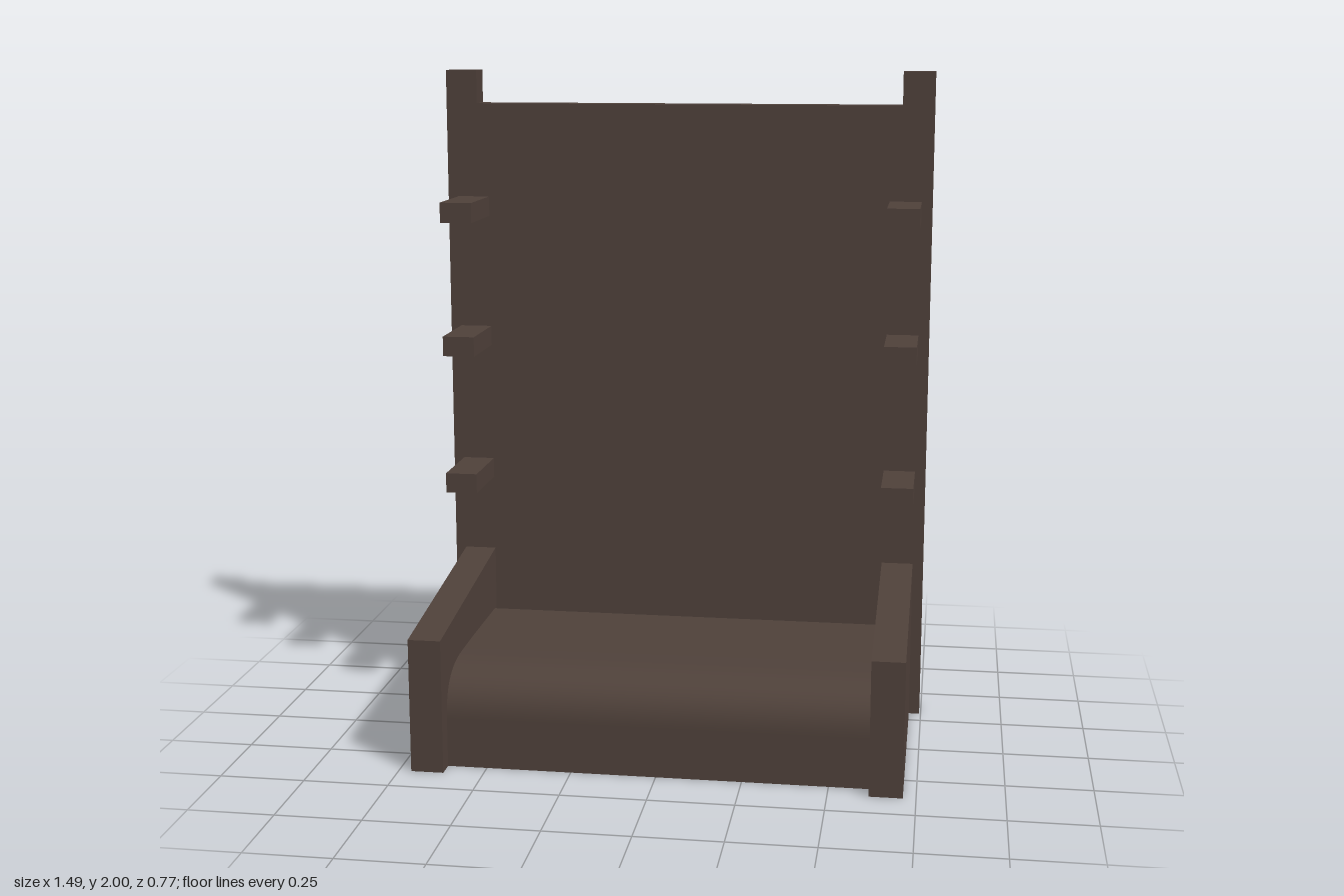
import * as THREE from 'three';

const wood = new THREE.MeshStandardMaterial({ color: 0x4f413a, side: THREE.DoubleSide });
wood.name = 'darkBrownWood';

const BACK_Z = -0.39, PANEL_Z = -0.31;

function add(group, name, geometry, x = 0, y = 0, z = 0) {
  const mesh = new THREE.Mesh(geometry, wood);
  mesh.name = name;
  mesh.position.set(x, y, z);
  group.add(mesh);
  return mesh;
}

function extrude(points, depth) {
  const shape = new THREE.Shape(points.map(([x, y]) => new THREE.Vector2(x, y)));
  return new THREE.ExtrudeGeometry(shape, { depth, bevelEnabled: false });
}

// Seat sheet: flat top rolling over a rounded front edge down to the floor
function seatSheet(width) {
  const path = new THREE.CurvePath();
  const v = (z, y) => new THREE.Vector2(z, y);
  const profile = [v(-0.285, 0.295), v(0.0, 0.295), v(0.15, 0.292)];
  const bend = new THREE.CubicBezierCurve(v(0.15, 0.292), v(0.26, 0.29), v(0.33, 0.25), v(0.33, 0.15));
  profile.push(...bend.getPoints(16).slice(1), v(0.33, 0.08), v(0.33, 0));
  const geo = new THREE.PlaneGeometry(width, 1, 1, profile.length - 1);
  const pos = geo.attributes.position;
  for (let i = 0; i < pos.count; i++) {
    const p = profile[Math.floor(i / 2)];
    pos.setXYZ(i, pos.getX(i), p.y, p.x);
  }
  geo.computeVertexNormals();
  return geo;
}

export function createModel() {
  const model = new THREE.Group();
  model.name = 'highBackBench';

  // Back board with a raised post end at each top corner
  add(model, 'backBoard', extrude([
    [-0.745, 0], [0.745, 0], [0.745, 2], [0.65, 2],
    [0.65, 1.9], [-0.65, 1.9], [-0.65, 2], [-0.745, 2],
  ], PANEL_Z - BACK_Z), 0, 0, BACK_Z);

  add(model, 'seat', seatSheet(1.234));

  // Sloped side panels and the three pegs above each
  const sideGeo = extrude([[0.385, 0], [0.385, 0.4], [PANEL_Z, 0.49], [PANEL_Z, 0]].map(([z, y]) => [-z, y]).reverse(), 0.096);
  sideGeo.translate(0, 0, -0.048).rotateY(Math.PI / 2);
  const pegGeo = new THREE.BoxGeometry(0.096, 0.06, 0.23);
  for (const [side, s] of [['left', 1], ['right', -1]]) {
    add(model, side + 'SidePanel', sideGeo, s * 0.665);
    [0.755, 1.18, 1.585].forEach((y, i) =>
      add(model, side + 'Peg' + (i + 1), pegGeo, s * 0.665, y, PANEL_Z + 0.115));
  }
  return model;
}
